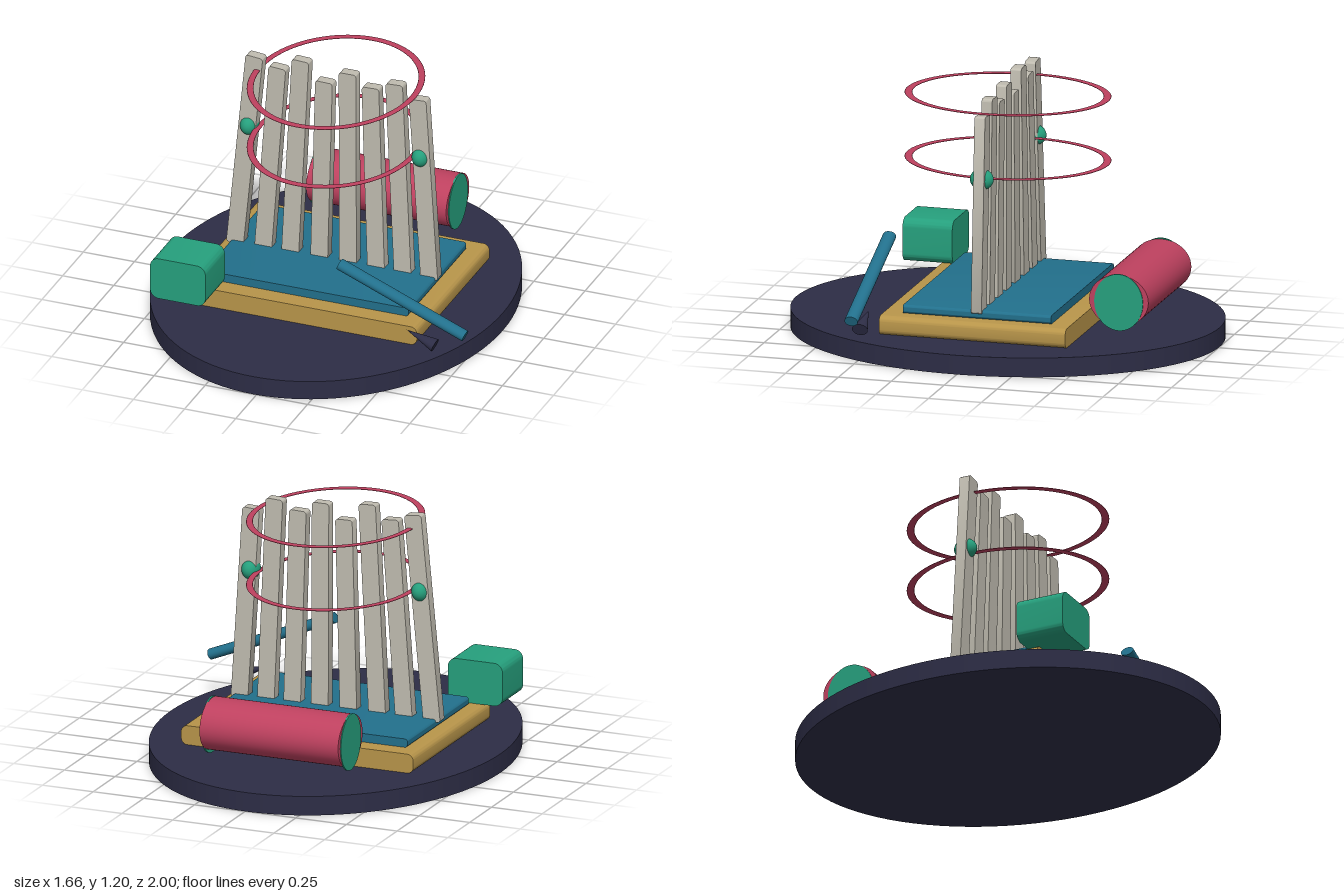
import * as THREE from 'three';
import { toCreasedNormals } from 'three/addons/utils/BufferGeometryUtils.js';

const mat = (name, color) => {
  const m = new THREE.MeshStandardMaterial({ color });
  m.name = name;
  return m;
};

// Block with corners rounded in the front outline, straight along z
function roundedBlock(w, h, d, r) {
  const s = new THREE.Shape();
  const x = w / 2 - r, y = h / 2 - r;
  s.absarc(x, y, r, 0, Math.PI / 2);
  s.absarc(-x, y, r, Math.PI / 2, Math.PI);
  s.absarc(-x, -y, r, Math.PI, Math.PI * 1.5);
  s.absarc(x, -y, r, Math.PI * 1.5, Math.PI * 2);
  s.closePath();
  const g = new THREE.ExtrudeGeometry(s, { depth: d, bevelEnabled: false, curveSegments: 6 });
  g.translate(0, 0, -d / 2);
  return toCreasedNormals(g, 0.6);
}

export function createModel() {
  const model = new THREE.Group();
  const navy = mat('navy', 0x2d2d46);
  const gold = mat('gold', 0xb8954a);
  const teal = mat('teal', 0x22708c);
  const stone = mat('stone', 0xc0bcb0);
  const crimson = mat('crimson', 0xbe415f);
  const green = mat('green', 0x26a07d);

  const add = (name, geometry, material, x, y, z) => {
    const m = new THREE.Mesh(geometry, material);
    m.name = name;
    m.position.set(x, y, z);
    model.add(m);
    return m;
  };
  const cx = -0.015;

  // Oval base and stacked plinths
  add('base', new THREE.CylinderGeometry(1, 1, 0.09, 96).scale(0.815, 1, 1), navy, cx, 0.045, 0);
  add('plinth', roundedBlock(1.145, 0.09, 0.88, 0.03), gold, cx, 0.135, 0);
  add('pad', roundedBlock(1.0, 0.04, 0.7, 0.013), teal, -0.02, 0.2, 0);

  // Fanned slats: [bottom x, top x, top y]
  const slats = [
    [-0.5, -0.405, 1.175], [-0.362, -0.293, 1.14], [-0.23, -0.18, 1.198], [-0.088, -0.065, 1.112],
    [0.053, 0.05, 1.177], [0.19, 0.162, 1.127], [0.32, 0.278, 1.167], [0.45, 0.393, 1.11],
  ];
  slats.forEach(([bx, tx, ty], i) => {
    const by = 0.203, dx = tx - bx, dy = ty - by;
    const slat = add('slat' + (i + 1), roundedBlock(0.084, Math.hypot(dx, dy), 0.05, 0.014),
      stone, (bx + tx) / 2, (by + ty) / 2, 0);
    slat.rotation.z = -Math.atan2(dx, dy);
  });

  // Flat oval rings around the slats
  for (const y of [0.81, 1.11]) {
    const ring = new THREE.TorusGeometry(0.457, 0.018, 12, 96).rotateX(Math.PI / 2).scale(0.825, 0.2, 1);
    add('ring', ring, crimson, cx, y, 0);
  }

  // Side beads
  for (const x of [-0.437, 0.402]) {
    add('bead', new THREE.SphereGeometry(1, 32, 20).scale(0.042, 0.048, 0.055), green, x, 0.815, 0);
  }

  // Roll behind the plinth, with a thin disc on each end
  const drum = (ry, rz, len) =>
    new THREE.CylinderGeometry(1, 1, len, 48).rotateZ(Math.PI / 2).scale(1, ry, rz);
  add('roll', drum(0.12, 0.14, 0.684), crimson, cx, 0.273, -0.625);
  for (const x of [-0.357, 0.327]) {
    add('rollCap', drum(0.132, 0.115, 0.008), green, x, 0.266, -0.625);
  }

  // Block at the front corner
  add('cornerBlock', roundedBlock(0.27, 0.203, 0.235, 0.042), green, -0.54, 0.283, 0.497);

  // Leaning rod and small pointed tip
  const rod = add('rod', new THREE.CylinderGeometry(0.025, 0.025, 0.662, 32).scale(1, 1, 1.25),
    teal, 0.509, 0.34, 0.495);
  rod.rotation.z = Math.atan2(0.613, 0.249);
  const tip = add('tip', new THREE.ConeGeometry(0.029, 0.149, 32).scale(1, 1, 1.28),
    navy, 0.6, 0.167, 0.497);
  tip.rotation.z = Math.atan2(0.139, 0.053);

  return model;
}
